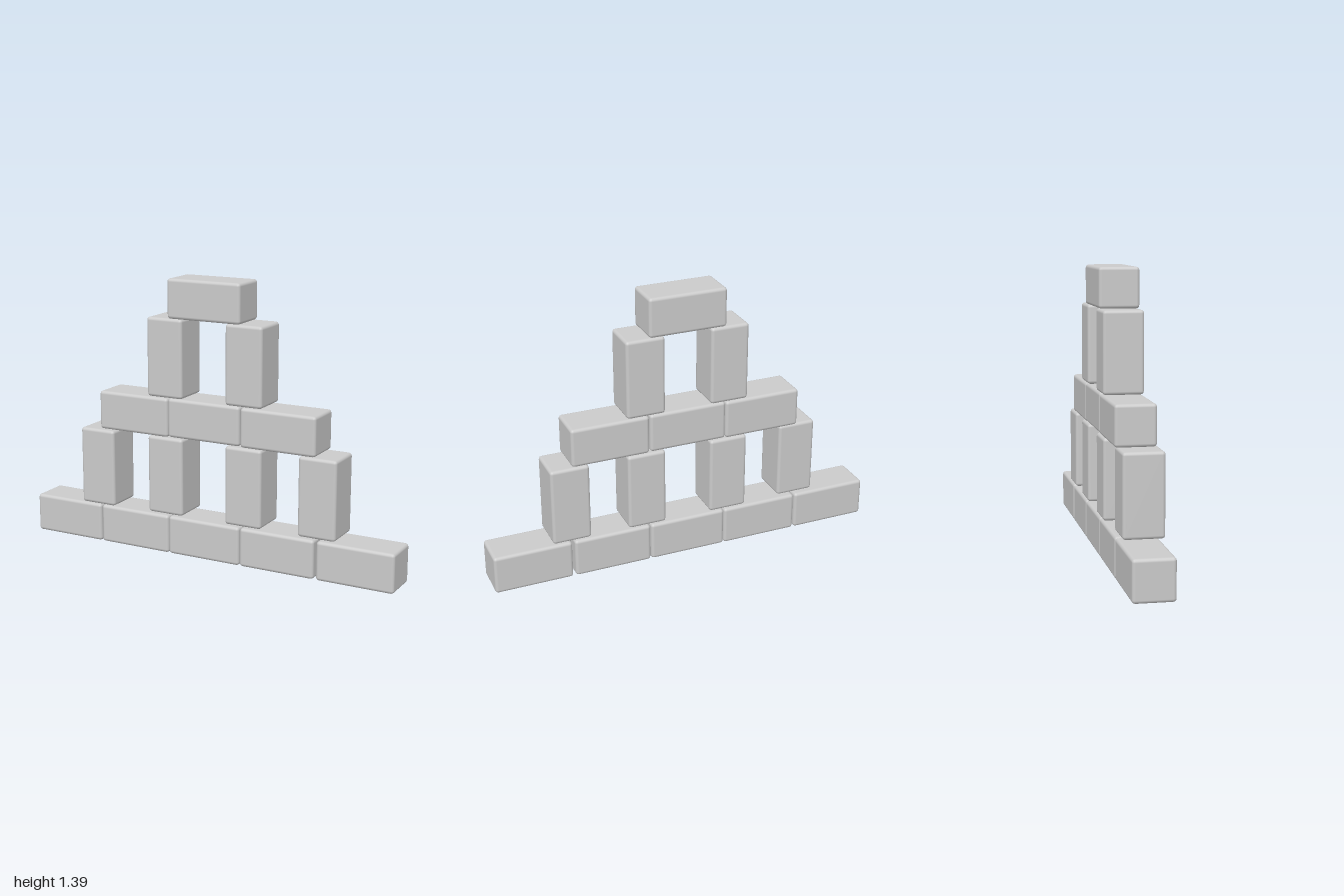
import * as THREE from 'three';
import { RoundedBoxGeometry } from 'three/addons/geometries/RoundedBoxGeometry.js';

const LONG = 0.395, SHORT = 0.196;

export function createModel() {
  const model = new THREE.Group();
  model.name = 'blockPyramid';
  const material = new THREE.MeshStandardMaterial({ color: 0xcccccc });
  const lying = new RoundedBoxGeometry(LONG, SHORT, SHORT, 2, 0.016);
  const standing = new RoundedBoxGeometry(SHORT, LONG, SHORT, 2, 0.016);

  // One course of blocks; each entry is [x, z, optional lift]
  function course(name, geometry, y, places) {
    const group = new THREE.Group();
    group.name = name;
    places.forEach(([x, z, lift = 0], i) => {
      const block = new THREE.Mesh(geometry, material);
      block.name = `${name}Block${i + 1}`;
      block.position.set(x, y + lift, z);
      group.add(block);
    });
    model.add(group);
  }

  // Foundation: five blocks end to end
  course('baseRow', lying, 0.098,
    [-0.802, -0.402, -0.005, 0.394, 0.802].map((x) => [x, -0.007]));

  // Four uprights, the outermost set slightly forward
  course('lowerColumns', standing, 0.402,
    [[-0.608, 0.009], [-0.221, -0.008], [0.212, -0.008], [0.603, -0.008]]);

  // Three-block beam with its middle a touch higher
  course('middleRow', lying, 0.7,
    [[-0.402, -0.007], [-0.005, -0.007, 0.003], [0.394, -0.007]]);

  // Two uprights carrying the cap
  course('upperColumns', standing, 0.999, [[-0.221, -0.008], [0.212, -0.008]]);

  // Cap
  course('capRow', lying, 1.294, [[-0.005, -0.007]]);

  return model;
}
